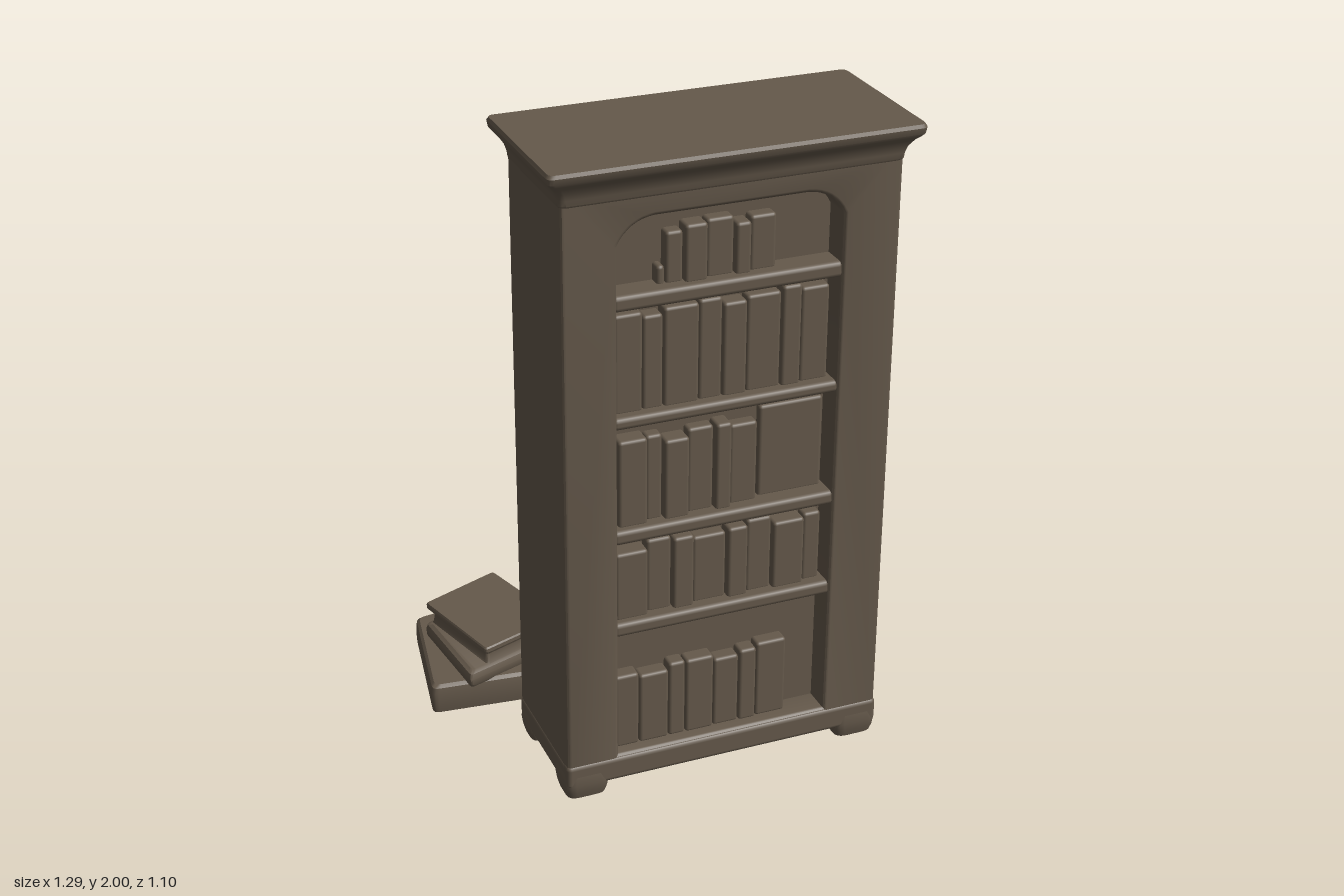
import * as THREE from 'three';
import { toCreasedNormals } from 'three/addons/utils/BufferGeometryUtils.js';
import { RoundedBoxGeometry } from 'three/addons/geometries/RoundedBoxGeometry.js';

const wood = new THREE.MeshStandardMaterial({ color: 0x65594b });
wood.name = 'brown wood';

// Cabinet body extents
const X0 = -0.41, X1 = 0.595, Z0 = 0.08, Z1 = 0.5, CX = (X0 + X1) / 2;

function add(parent, name, geometry) {
  const mesh = new THREE.Mesh(geometry, wood);
  mesh.name = name;
  parent.add(mesh);
  return mesh;
}

function box(parent, name, x0, x1, y0, y1, z0, z1, r = 0.008) {
  const mesh = add(parent, name, new RoundedBoxGeometry(x1 - x0, y1 - y0, z1 - z0, 2, r));
  mesh.position.set((x0 + x1) / 2, (y0 + y1) / 2, (z0 + z1) / 2);
  return mesh;
}

// Rounds each corner of an [x, z] polygon with a short quadratic curve
function roundCorners(pts, r, steps = 4) {
  const out = [];
  pts.forEach((p, i) => {
    const c = new THREE.Vector2(...p);
    const a = new THREE.Vector2(...pts[(i + pts.length - 1) % pts.length]);
    const b = new THREE.Vector2(...pts[(i + 1) % pts.length]);
    a.sub(c).setLength(r).add(c);
    b.sub(c).setLength(r).add(c);
    const curve = new THREE.QuadraticBezierCurve(a, c, b);
    curve.getPoints(steps).forEach(q => out.push([q.x, q.y]));
  });
  return out;
}

// Skins horizontal rings, each { y, pts }, and closes both ends
function loft(rings, crease = 0.6) {
  const n = rings[0].pts.length, pos = [], idx = [];
  rings.forEach(({ y, pts }) => pts.forEach(([x, z]) => pos.push(x, y, z)));
  for (let k = 0; k < rings.length - 1; k++) {
    for (let i = 0; i < n; i++) {
      const a = k * n + i, b = k * n + (i + 1) % n;
      idx.push(a, a + n, b, b, a + n, b + n);
    }
  }
  const last = (rings.length - 1) * n;
  for (let i = 1; i < n - 1; i++) {
    idx.push(0, i, i + 1);
    idx.push(last, last + i + 1, last + i);
  }
  const g = new THREE.BufferGeometry();
  g.setAttribute('position', new THREE.Float32BufferAttribute(pos, 3));
  g.setIndex(idx);
  return toCreasedNormals(g, crease);
}

// Corner order: clockwise seen from above, starting at the back left of the plan
const rect = (x0, x1, z0, z1, o) =>
  [[x0 - o, z0 - o], [x1 + o, z0 - o], [x1 + o, z1 + o], [x0 - o, z1 + o]];

// Rectangular moulding from a [y, outward offset] profile
const moulding = (x0, x1, z0, z1, profile, r) =>
  loft(profile.map(([y, o]) => ({ y, pts: roundCorners(rect(x0, x1, z0, z1, o), r) })));

// Four-cornered slab from a [y, scale] profile
function slab(corners, profile, r) {
  const cx = corners.reduce((s, p) => s + p[0], 0) / 4;
  const cz = corners.reduce((s, p) => s + p[1], 0) / 4;
  return loft(profile.map(([y, s]) => ({
    y, pts: roundCorners(corners.map(([x, z]) => [cx + (x - cx) * s, cz + (z - cz) * s]), r)
  })));
}

function faceFrame() {
  const s = new THREE.Shape();
  s.moveTo(X0, 0.09); s.lineTo(X1, 0.09); s.lineTo(X1, 1.93); s.lineTo(X0, 1.93); s.closePath();
  // Opening with an arched head
  const h = new THREE.Path();
  h.moveTo(-0.25, 0.13);
  h.lineTo(-0.25, 1.755);
  h.quadraticCurveTo(-0.215, 1.825, -0.14, 1.83);
  h.lineTo(0.31, 1.83);
  h.quadraticCurveTo(0.385, 1.825, 0.42, 1.755);
  h.lineTo(0.42, 0.13);
  h.closePath();
  s.holes.push(h);
  const b = 0.012, g = new THREE.ExtrudeGeometry(s, {
    depth: Z1 - 0.388 - 2 * b, bevelEnabled: true, bevelSize: b, bevelThickness: b,
    bevelOffset: -b, bevelSegments: 3, curveSegments: 8
  });
  g.translate(0, 0, 0.388 + b);
  return toCreasedNormals(g, 0.6);
}

function cabinet() {
  const g = new THREE.Group();
  g.name = 'bookcase';
  box(g, 'carcass', X0, X1, 0.085, 1.93, Z0, 0.412, 0.006);
  add(g, 'faceFrame', faceFrame());

  // Flared cornice and flat top
  add(g, 'cornice', moulding(X0, X1, Z0, Z1, [
    [1.885, -0.002], [1.893, 0.004], [1.91, 0.006], [1.93, 0.012], [1.95, 0.025],
    [1.962, 0.037], [1.972, 0.045], [1.99, 0.048], [2, 0.043]
  ], 0.02));

  // Skirting on all four sides, open underneath
  box(g, 'frontSkirt', X0 - 0.004, X1 + 0.004, 0.045, 0.125, Z1 - 0.04, Z1 + 0.005, 0.015);
  box(g, 'backSkirt', X0 - 0.004, X1 + 0.004, 0.045, 0.12, Z0 - 0.004, Z0 + 0.04, 0.015);
  box(g, 'rightSkirt', X0 - 0.004, X0 + 0.04, 0.045, 0.12, Z0, Z1, 0.015);
  box(g, 'leftSkirt', X1 - 0.04, X1 + 0.004, 0.045, 0.12, Z0, Z1, 0.015);

  // Bracket feet
  const foot = [[0, -0.012], [0.008, -0.002], [0.03, 0.004], [0.055, 0.007], [0.085, 0.005], [0.11, 0]];
  for (const [fx0, fx1] of [[X0, X0 + 0.125], [X1 - 0.125, X1]]) {
    for (const [fz0, fz1] of [[Z0, Z0 + 0.1], [Z1 - 0.11, Z1]]) {
      add(g, 'foot', moulding(fx0, fx1, fz0, fz1, foot, 0.03));
    }
  }

  // Shelves with rounded noses
  for (const [y0, y1] of [[0.533, 0.577], [0.838, 0.882], [1.203, 1.24], [1.56, 1.608]]) {
    box(g, 'shelf', -0.26, 0.43, y0, y1, 0.4, 0.494, 0.014);
  }
  return g;
}

// Each row: base height, top height, first x, last x, number of books
const ROWS = [
  [0.13, 0.385, -0.245, 0.31, 7],
  [0.575, 0.815, -0.245, 0.41, 8],
  [0.88, 1.155, -0.235, 0.2, 6],
  [1.238, 1.545, -0.245, 0.41, 8],
  [1.606, 1.78, -0.09, 0.24, 5]
];

function books() {
  const g = new THREE.Group();
  g.name = 'shelvedBooks';
  ROWS.forEach(([y0, y1, x0, x1, n], row) => {
    // Uneven widths, heights and depths from a repeating rule
    const widths = Array.from({ length: n }, (_, i) => 1 + 0.3 * Math.sin(i * 2.3 + row));
    const total = widths.reduce((a, b) => a + b, 0);
    let x = x0;
    widths.forEach((w, i) => {
      const dx = (w / total) * (x1 - x0);
      const drop = 0.012 * (1 + Math.sin(i * 1.9 + row * 2));
      const front = 0.458 + 0.01 * Math.sin(i * 3.1 + row);
      box(g, 'book', x + 0.001, x + dx - 0.001, y0 - 0.005, y1 - drop, 0.4, front, 0.01);
      x += dx;
    });
  });
  // Small ornament on the top shelf and a deep-set box on the middle one
  box(g, 'ornament', -0.115, -0.092, 1.6, 1.66, 0.4, 0.45, 0.01);
  box(g, 'deepBox', 0.21, 0.41, 0.875, 1.17, 0.4, 0.435, 0.01);
  return g;
}

function bookStack() {
  const g = new THREE.Group();
  g.name = 'bookStack';
  const large = [[-0.575, -0.515], [-0.232, -0.555], [-0.21, -0.043], [-0.65, -0.088]];
  const lower = [[-0.575, -0.4], [-0.285, -0.51], [-0.205, -0.16], [-0.535, -0.045]];
  const upper = [[-0.57, -0.4], [-0.305, -0.508], [-0.2, -0.165], [-0.475, -0.065]];
  add(g, 'largeBook', slab(large,
    [[0, 0.95], [0.006, 0.985], [0.03, 1], [0.075, 1], [0.093, 0.985], [0.102, 0.94]], 0.022));
  add(g, 'lowerCover', slab(lower,
    [[0.095, 0.96], [0.105, 0.99], [0.125, 1], [0.142, 0.97], [0.15, 0.9]], 0.015));
  add(g, 'pages', slab(upper,
    [[0.14, 0.94], [0.155, 0.9], [0.18, 0.88], [0.195, 0.92], [0.203, 0.95]], 0.012));
  add(g, 'upperCover', slab(upper,
    [[0.198, 0.96], [0.202, 1], [0.214, 1], [0.219, 0.98]], 0.012));
  return g;
}

export function createModel() {
  const model = new THREE.Group();
  model.name = 'bookcaseWithStack';
  model.add(cabinet(), books(), bookStack());
  return model;
}
